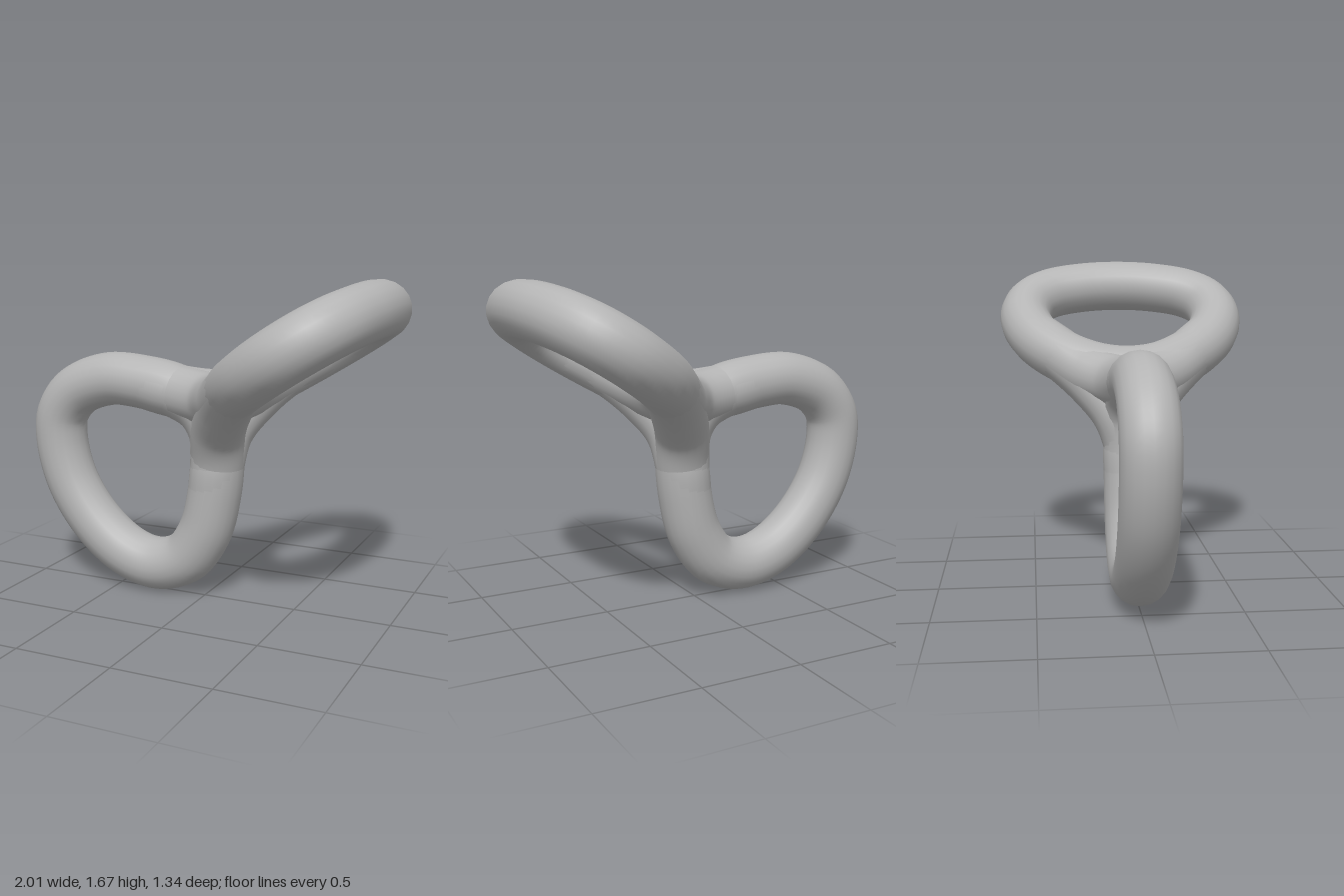
import * as THREE from 'three';

const R = 0.14; // tube radius

// The raised ring lies in a plane that climbs toward +x.
const tilt = (x, z) => new THREE.Vector3(x, 1.36 + 0.65 * (x - 0.6), z);
const v = (x, y, z = 0) => new THREE.Vector3(x, y, z);

export function createModel() {
  const group = new THREE.Group();
  const grey = new THREE.MeshStandardMaterial({ color: 0xb4b4b4 });
  grey.name = 'plain grey';

  const addTube = (name, points, closed, radius, segments) => {
    const curve = new THREE.CatmullRomCurve3(points, closed, 'centripetal');
    const mesh = new THREE.Mesh(new THREE.TubeGeometry(curve, segments, radius, 20, closed), grey);
    mesh.name = name;
    group.add(mesh);
  };

  // Upright egg-shaped ring in the z = 0 plane
  const lower = [
    [-0.02, 1.01], [-0.16, 1.08], [-0.35, 1.115], [-0.55, 1.12], [-0.75, 1.045],
    [-0.85, 0.92], [-0.863, 0.77], [-0.8, 0.54], [-0.65, 0.325], [-0.46, 0.182],
    [-0.28, 0.138], [-0.11, 0.195], [0.0, 0.35], [0.052, 0.55], [0.07, 0.75], [0.055, 0.9],
  ].map(([x, y]) => v(x, y));
  addTube('lowerRing', lower, true, R, 96);

  // Tilted ring, half of it given and the rest mirrored in z
  const half = [[0.215, 0.16], [0.31, 0.34], [0.45, 0.48], [0.6, 0.533], [0.72, 0.495], [0.8, 0.385], [0.847, 0.2]];
  const upper = [
    tilt(0.19, 0),
    ...half.map(([x, z]) => tilt(x, z)),
    tilt(0.862, 0),
    ...[...half].reverse().map(([x, z]) => tilt(x, -z)),
  ];
  addTube('upperRing', upper, true, R, 96);

  // Blending strands that carry each arm of one ring into each arm of the other
  for (const s of [1, -1]) {
    const side = s > 0 ? 'Front' : 'Back';
    const arm = [tilt(0.31, s * 0.34), tilt(0.45, s * 0.48)];
    addTube('topStrand' + side,
      [v(-0.35, 1.115), v(-0.16, 1.08), v(0.06, 1.06, s * 0.07), v(0.19, 1.09, s * 0.2), ...arm],
      false, R - 0.002, 40);
    addTube('stemStrand' + side,
      [v(0.052, 0.55), v(0.072, 0.72), v(0.1, 0.89, s * 0.06), v(0.185, 1.035, s * 0.18), ...arm],
      false, R - 0.002, 40);
  }
  return group;
}
